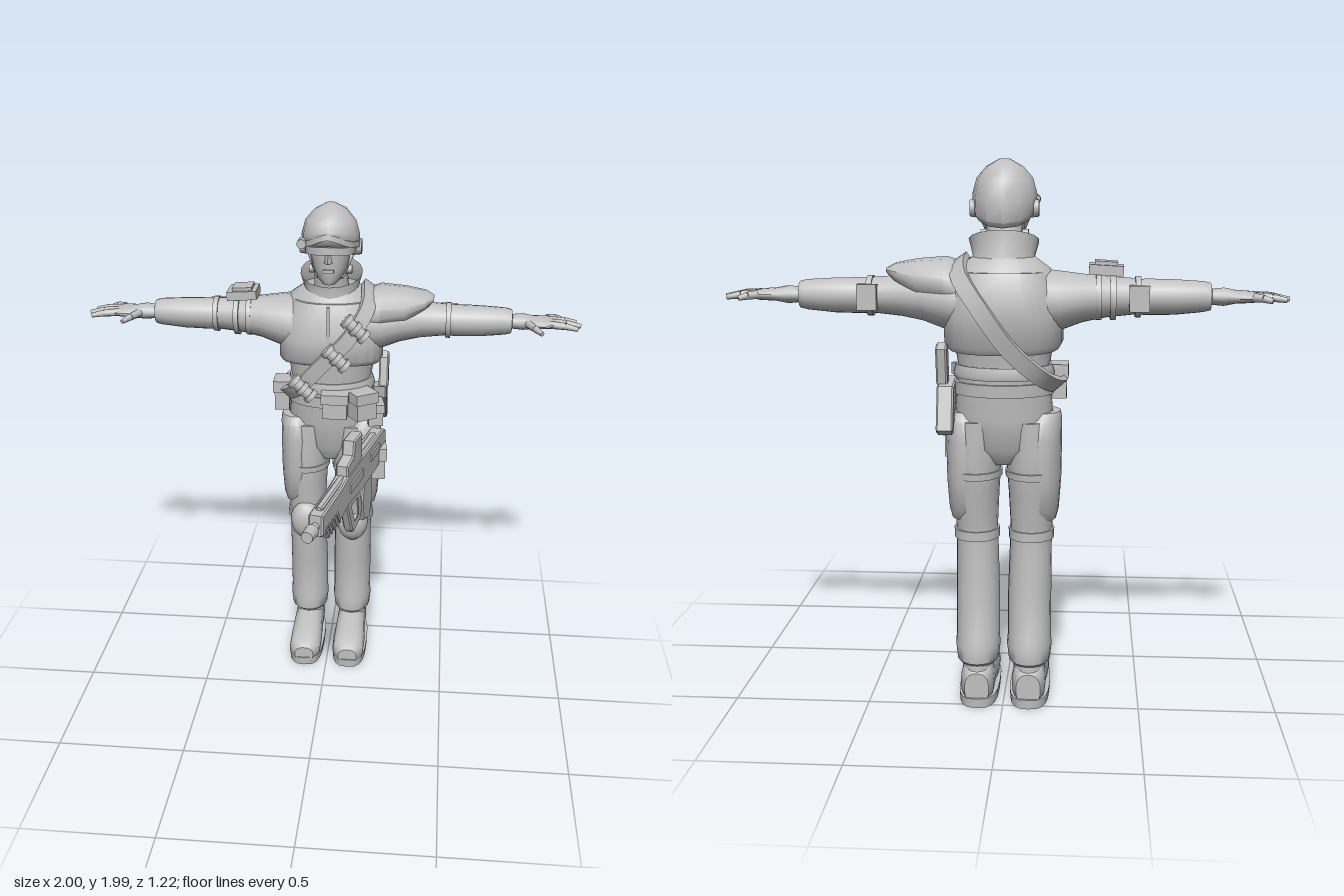
import * as THREE from 'three';
import { toCreasedNormals } from 'three/addons/utils/BufferGeometryUtils.js';

const grey = new THREE.MeshStandardMaterial({ color: 0xc0c0c0 });
grey.name = 'plain grey';
grey.side = THREE.DoubleSide;
const V = (x, y, z) => new THREE.Vector3(x, y, z);

// Surface through a list of equal-sized rings
function skin(rings, { caps = true, closed = false } = {}) {
  const n = rings[0].length, m = rings.length, pts = rings.flat(), idx = [];
  for (let i = 0; i < (closed ? m : m - 1); i++) for (let j = 0; j < n; j++) {
    const a = i * n + j, b = i * n + (j + 1) % n, k = ((i + 1) % m) * n;
    const c = k + (j + 1) % n, d = k + j;
    idx.push(a, b, c, a, c, d);
  }
  if (caps && !closed) for (const i of [0, m - 1]) {
    const mid = rings[i].reduce((s, p) => s.add(p), V(0, 0, 0)).divideScalar(n), c = pts.push(mid) - 1;
    for (let j = 0; j < n; j++) {
      const a = i * n + j, b = i * n + (j + 1) % n;
      i ? idx.push(a, b, c) : idx.push(b, a, c);
    }
  }
  const g = new THREE.BufferGeometry().setFromPoints(pts);
  g.setIndex(idx);
  return toCreasedNormals(g, 0.75);
}

// Loft along an axis; sections are [t, c1, c2, r1, r2, squareness, slope].
// (c1, c2) run along (z, x) for y, (y, z) for x, (x, y) for z.
function loft(axis, sections, n = 18, opts) {
  const list = [...sections].sort((a, b) => a[0] - b[0]);
  return skin(list.map(([t, c1, c2, r1, r2, p = 2, k = 0]) => Array.from({ length: n }, (_, j) => {
    const f = (v) => Math.sign(v) * Math.abs(v) ** (2 / p), a = (j / n) * Math.PI * 2;
    const du = r1 * f(Math.cos(a)), u = c1 + du, v = c2 + r2 * f(Math.sin(a)), w = t + k * du;
    return axis === 'y' ? V(v, w, u) : axis === 'x' ? V(w, u, v) : V(u, v, w);
  })), opts);
}

// Flat strap following a curve, facing away from a centre
function ribbon(points, width, thick, closed, centre) {
  const curve = new THREE.CatmullRomCurve3(points.map((p) => V(...p)), closed), N = 40, rings = [];
  for (let i = 0; i < (closed ? N : N + 1); i++) {
    const p = curve.getPointAt(i / N), T = curve.getTangentAt(i / N);
    const W = T.clone().cross(p.clone().sub(centre)).normalize(), O = W.clone().cross(T);
    rings.push([[1, 1], [-1, 1], [-1, -1], [1, -1]].map(([a, b]) =>
      p.clone().addScaledVector(O, a * thick / 2).addScaledVector(W, b * width / 2)));
  }
  return skin(rings, { closed });
}

// Tapered round rod between two points
function rod(a, b, r1, r2 = r1, n = 10) {
  const A = V(...a), B = V(...b), d = B.clone().sub(A);
  const g = new THREE.CylinderGeometry(r2, r1, d.length(), n);
  g.applyQuaternion(new THREE.Quaternion().setFromUnitVectors(V(0, 1, 0), d.normalize()));
  const m = A.add(B).multiplyScalar(0.5);
  return g.translate(m.x, m.y, m.z);
}

// Plate with a (z, y) outline, centred on x = 0
function plate(outline, width, hole) {
  const s = new THREE.Shape(outline.map((p) => new THREE.Vector2(...p)));
  if (hole) s.holes.push(new THREE.Path(hole.map((p) => new THREE.Vector2(...p))));
  const bevel = 0.006;
  return new THREE.ExtrudeGeometry(s, { depth: width - 2 * bevel, bevelThickness: bevel, bevelSize: bevel, bevelOffset: -bevel, bevelSegments: 1 })
    .translate(0, 0, bevel - width / 2).rotateY(-Math.PI / 2);
}

export function createModel() {
  const root = new THREE.Group();
  root.name = 'soldier';
  const add = (name, geo, parent = root) => {
    const m = new THREE.Mesh(geo, grey);
    m.name = name;
    parent.add(m);
    return m;
  };
  const box = (name, size, pos, rot = [0, 0, 0], parent = root) => {
    const m = add(name, new THREE.BoxGeometry(...size), parent);
    m.position.set(...pos);
    m.rotation.set(...rot);
    return m;
  };

  // Head, helmet and headset
  add('neck', loft('y', [[1.58, -.41, 0, .07, .075], [1.76, -.375, 0, .065, .062]]));
  add('face', loft('y', [[1.685, -.315, 0, .055, .03], [1.705, -.33, 0, .078, .05], [1.745, -.34, 0, .09, .07],
    [1.8, -.35, 0, .105, .082], [1.85, -.352, 0, .105, .09], [1.9, -.355, 0, .1, .085]]));
  add('nose', skin([[V(-.016, 1.775, -.25), V(.016, 1.775, -.25), V(0, 1.775, -.222)],
    [V(-.008, 1.835, -.25), V(.008, 1.835, -.25), V(0, 1.835, -.242)]]));
  box('lips', [.042, .014, .012], [0, 1.742, -.25]);
  add('helmet', loft('y', [[1.795, -.357, 0, .118, .1, 2, .4], [1.815, -.357, 0, .133, .113, 2, .38], [1.865, -.357, 0, .137, .115, 2, .22],
    [1.92, -.358, 0, .12, .1, 2, .08], [1.96, -.36, 0, .082, .065], [1.985, -.36, 0, .025, .02]], 12));
  add('helmetBrim', ribbon([[-.11, 1.835, -.33], [-.075, 1.85, -.26], [0, 1.88, -.222], [.075, 1.85, -.26], [.11, 1.835, -.33]], .022, .014, false, V(0, 1.85, -.36)));
  add('eyewear', ribbon([[-.1, 1.82, -.36], [-.075, 1.818, -.275], [0, 1.825, -.236], [.075, 1.818, -.275], [.1, 1.82, -.36]], .03, .009, false, V(0, 1.82, -.36)));
  for (const s of [-1, 1]) {
    add('earpiece', rod([s * .08, 1.815, -.37], [s * .122, 1.815, -.37], .036, .03, 14));
    add('chinStrap', rod([s * .09, 1.8, -.37], [s * .045, 1.7, -.32], .009));
    add('strapBuckle', rod([s * .06, 1.725, -.36], [s * .085, 1.725, -.36], .017));
  }
  add('headLamp', rod([-.105, 1.845, -.3], [-.105, 1.845, -.255], .019));

  // Torso, vest and collar
  add('torso', loft('y', [[.91, -.41, 0, .07, .07], [.97, -.415, 0, .11, .15], [1.08, -.415, 0, .12, .178], [1.18, -.41, 0, .135, .17],
    [1.27, -.41, 0, .14, .165], [1.36, -.41, 0, .155, .18], [1.47, -.42, 0, .165, .2], [1.55, -.425, 0, .16, .195],
    [1.61, -.425, 0, .13, .165], [1.65, -.415, 0, .1, .11]], 24));
  add('vest', loft('y', [[1.335, -.41, 0, .155, .2, 2.6, .12], [1.355, -.41, 0, .17, .212, 2.6, .1], [1.45, -.42, 0, .18, .212, 2.6],
    [1.54, -.425, 0, .172, .19, 2.6], [1.6, -.425, 0, .145, .155, 2.6]], 24));
  add('vestHem', loft('y', [[1.225, -.41, 0, .148, .178], [1.24, -.41, 0, .152, .182], [1.27, -.41, 0, .145, .172]], 24));
  box('vestSeam', [.012, .22, .012], [0, 1.49, -.245]);
  add('collar', loft('y', [[1.59, -.415, 0, .12, .14], [1.65, -.405, 0, .105, .11, 2, -.25], [1.705, -.4, 0, .105, .125, 2, -.38]], 18, { caps: false }));

  // Bandolier with canisters
  add('bandolier', ribbon([[.15, 1.64, -.42], [.15, 1.585, -.28], [.085, 1.48, -.228], [-.02, 1.37, -.225], [-.13, 1.25, -.255], [-.2, 1.2, -.38],
    [-.15, 1.23, -.535], [-.03, 1.34, -.59], [.07, 1.48, -.605], [.145, 1.59, -.55]], .06, .022, true, V(0, 1.42, -.41)));
  for (const [x, y] of [[.11, 1.525], [.035, 1.4], [-.1, 1.27]]) {
    const c = new THREE.Group();
    c.name = 'canister';
    c.position.set(x, y, -.215);
    c.rotation.z = -.75;
    root.add(c);
    add('canisterBody', rod([-.05, 0, 0], [.05, 0, 0], .024, .024, 12), c);
    for (const e of [-.045, 0, .045]) add('canisterRim', rod([e - .01, 0, 0], [e + .01, 0, 0], .031, .031, 12), c);
  }

  // Belt, pouches and holster
  add('belt', loft('y', [[1.165, -.41, 0, .143, .18], [1.21, -.41, 0, .146, .182]], 24));
  for (const [x, y, z, w, h, d, ry] of [[.03, 1.195, -.245, .1, .1, .08, 0], [.135, 1.19, -.27, .09, .11, .09, .6], [-.195, 1.2, -.35, .06, .12, .09, 0],
    [.205, .96, -.24, .06, .13, .1, .1], [.15, .97, -.24, .06, .11, .08, .1], [.185, 1.13, -.34, .06, .09, .09, .2]]) {
    box('pouch', [w, h, d], [x, y, z], [0, ry, 0]);
    box('pouchFlap', [w + .012, h * .4, d + .012], [x, y + h * .33, z], [0, ry, 0]);
  }
  add('holster', plate([[-.4, 1.22], [-.52, 1.2], [-.565, 1.05], [-.535, 1.03], [-.41, 1.17]], .06)).position.x = .2;
  add('pistolGrip', plate([[-.425, 1.2], [-.45, 1.33], [-.48, 1.35], [-.515, 1.33], [-.49, 1.2]], .04)).position.x = .215;

  for (const s of [-1, 1]) {
    // Arms
    const arm = (name, list, n = 18) => add(name, loft('x', list.map(([t, ...r]) => [s * t, ...r]), n));
    arm('upperArm', [[.12, 1.49, -.42, .12, .14], [.2, 1.495, -.42, .105, .13], [.28, 1.505, -.42, .085, .105], [.36, 1.51, -.42, .073, .078], [.48, 1.512, -.42, .062, .064]]);
    arm('forearm', [[.46, 1.51, -.42, .06, .064], [.5, 1.51, -.42, .064, .068], [.6, 1.51, -.42, .062, .064], [.7, 1.512, -.42, .054, .056], [.725, 1.512, -.42, .048, .05], [.728, 1.512, -.42, .03, .036]]);
    arm('elbowBand', [[.462, 1.51, -.42, .072, .074], [.482, 1.51, -.42, .072, .074]]);
    box('elbowPad', [.07, .09, .035], [s * .475, 1.51, -.49]);
    arm('glove', [[.71, 1.512, -.42, .026, .04], [.77, 1.512, -.42, .032, .045], [.81, 1.512, -.415, .024, .056], [.87, 1.512, -.42, .02, .064], [.89, 1.512, -.42, .014, .06]]);
    for (const [x0, z0, x1, x2, z1, z2] of [[.87, -.47, .9, .93, -.488, -.502], [.87, -.44, .935, .985, -.45, -.457], [.87, -.41, .94, 1, -.408, -.405], [.87, -.38, .935, .985, -.37, -.358], [.79, -.38, .815, .84, -.325, -.285]]) {
      add('fingerBase', rod([s * x0, 1.514, z0], [s * x1, 1.512, z1], .016, .014));
      add('fingerTip', rod([s * x1, 1.512, z1], [s * x2, 1.504, z2], .014, .009));
    }

    // Legs
    const leg = (name, list) => add(name, loft('y', list.map(([t, z, x, ...r]) => [t, z, s * x, ...r]), 20));
    leg('trouserLeg', [[.15, -.435, .095, .07, .06], [.17, -.435, .095, .098, .077], [.225, -.435, .095, .102, .083], [.26, -.432, .095, .09, .08],
      [.42, -.42, .095, .088, .08], [.6, -.4, .098, .084, .077], [.68, -.4, .1, .086, .077], [.8, -.408, .103, .108, .086], [.95, -.41, .1, .116, .093], [1.07, -.412, .092, .114, .085]]);
    leg('kneeStrap', [[.625, -.4, .1, .092, .083], [.66, -.4, .1, .092, .084]]);
    leg('thighStrap', [[.86, -.41, .102, .119, .096], [.885, -.41, .102, .121, .097]]);
    const pad = add('kneePad', new THREE.SphereGeometry(1, 14, 10));
    pad.scale.set(.066, .085, .05);
    pad.position.set(s * .1, .63, -.32);
    leg('thighPlate', [[.7, -.405, .14, .06, .05], [.74, -.405, .138, .09, .062], [.85, -.405, .138, .112, .07], [1.0, -.405, .138, .116, .072], [1.07, -.405, .14, .108, .07], [1.1, -.405, .145, .08, .06]]);

    // Boots
    add('bootUpper', loft('z', [[-.52, s * .095, .07, .045, .06], [-.48, s * .095, .085, .062, .085], [-.37, s * .095, .08, .063, .078], [-.27, s * .095, .063, .068, .062],
      [-.19, s * .095, .055, .066, .054], [-.155, s * .095, .048, .04, .035]].map((q) => [...q, 2.5])));
    leg('bootShaft', [[.06, -.435, .095, .085, .06], [.19, -.435, .095, .078, .058]]);
    leg('bootSole', [[0, -.34, .095, .19, .073, 3], [.035, -.34, .095, .192, .075, 3]]);
  }

  // Left shoulder guard, right arm kit
  add('shoulderGuard', loft('x', [[.15, 1.545, -.42, .09, .125], [.2, 1.56, -.42, .09, .135], [.3, 1.57, -.42, .072, .112], [.38, 1.592, -.42, .035, .075], [.412, 1.6, -.42, .01, .035]], 14));
  box('armKit', [.12, .035, .12], [-.36, 1.605, -.41], [0, 0, .06]);
  box('armKitLid', [.08, .02, .09], [-.36, 1.625, -.41], [0, 0, .06]);
  for (const x of [-.335, -.385]) add('armKitStrap', loft('x', [[x - .01, 1.51, -.42, .083, .09], [x + .01, 1.51, -.42, .083, .09]]));

  // Rifle
  const rifle = new THREE.Group();
  rifle.name = 'rifle';
  rifle.position.set(.143, 0, 0);
  rifle.rotation.y = -.227;
  root.add(rifle);
  add('rifleBody', plate([[.52, 1.065], [.28, 1.075], [.2, 1.088], [-.26, 1.095], [-.295, 1.08], [-.295, .985], [-.17, .955], [.03, .95], [.2, .965], [.3, .95], [.38, .945], [.52, .985]], .056), rifle);
  add('topRail', plate([[.48, 1.06], [.48, 1.078], [-.2, 1.1], [-.2, 1.06]], .028), rifle);
  add('sight', plate([[.215, 1.075], [.215, 1.125], [.14, 1.14], [.13, 1.195], [.03, 1.195], [.03, 1.075]], .05), rifle);
  add('gripLoop', plate([[.2, .965], [.13, .82], [.11, .8], [.02, .815], [-.005, .86], [.03, .965]], .036, [[.15, .935], [.1, .835], [.04, .845], [.055, .935]]), rifle);
  add('trigger', plate([[.13, .96], [.125, .905], [.108, .905], [.11, .96]], .015), rifle);
  add('magazine', plate([[-.025, .97], [0, .88], [-.02, .79], [-.105, .765], [-.14, .86], [-.13, .97]], .04), rifle);
  add('barrel', rod([0, 1.022, .5], [0, 1.022, .6], .016), rifle);
  add('muzzle', rod([0, 1.022, .555], [0, 1.022, .612], .026, .022, 12), rifle);
  for (let i = 0; i < 5; i++) box('foregripRib', [.064, .06, .014], [0, .978, .34 + i * .032], [.6, 0, 0], rifle);
  for (const s of [-1, 1]) {
    box('ejectionCover', [.009, .03, .12], [s * .03, 1.045, -.13], [0, 0, 0], rifle);
    box('sidePanel', [.009, .035, .16], [s * .03, 1.03, .12], [0, 0, 0], rifle);
  }
  return root;
}
